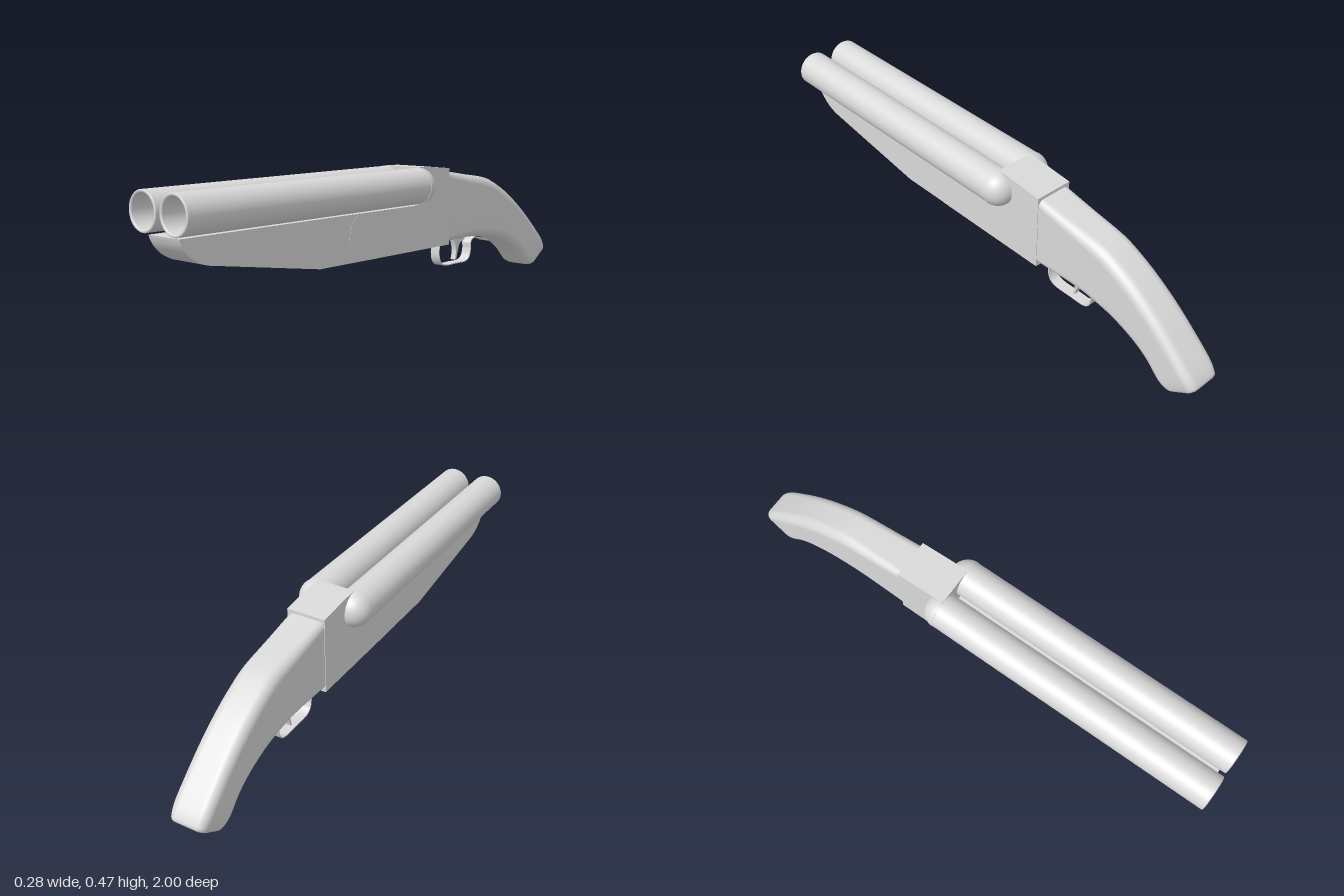
import * as THREE from 'three';
import { toCreasedNormals } from 'three/addons/utils/BufferGeometryUtils.js';

const V2 = (a, b) => new THREE.Vector2(a, b);

// Extrudes a side profile drawn in (z, y) to a width centred on x = 0
function sideExtrude(shape, width) {
  const g = new THREE.ExtrudeGeometry(shape, { depth: width, bevelEnabled: false, curveSegments: 20 });
  g.translate(0, 0, -width / 2);
  g.rotateY(-Math.PI / 2);
  return toCreasedNormals(g, 0.5);
}

// Thin strip following a (z, y) path
function bandShape(points, thickness) {
  const curve = new THREE.SplineCurve(points);
  const a = [], b = [], n = 60;
  for (let i = 0; i <= n; i++) {
    const p = curve.getPoint(i / n), t = curve.getTangent(i / n);
    const off = V2(-t.y, t.x).multiplyScalar(thickness / 2);
    a.push(p.clone().add(off));
    b.unshift(p.clone().sub(off));
  }
  return new THREE.Shape([...a, ...b]);
}

// Hollow barrel along z: domed breech, outer tube, muzzle lip and closed bore
function makeBarrel(material) {
  const r = 0.066, domeR = 0.0675, boreR = 0.056, seam = -0.105;
  const quarter = f => Array.from({ length: 13 }, (_, i) => f(i / 12 * Math.PI / 2));
  const profiles = {
    breechDome: quarter(a => V2(domeR * Math.sin(a), seam - domeR * Math.cos(a))),
    breechStep: [V2(domeR, seam), V2(r, seam)],
    tube: [V2(r, seam), V2(r, 0.997)],
    muzzleLip: [V2(r, 0.997), V2(0.064, 1), V2(0.059, 1), V2(boreR, 0.996)],
    bore: [V2(boreR, 0.996), V2(boreR, -0.04)],
    boreEnd: quarter(a => V2(boreR * Math.cos(a), -0.04 - boreR * Math.sin(a))),
  };
  const barrel = new THREE.Group();
  for (const [name, points] of Object.entries(profiles)) {
    const mesh = new THREE.Mesh(new THREE.LatheGeometry(points, 64).rotateX(Math.PI / 2), material);
    mesh.name = name;
    barrel.add(mesh);
  }
  return barrel;
}

// Lofts rounded rectangles, each spanning a top and a bottom point
function stockGeometry() {
  // top z, top y, bottom z, bottom y, half width, corner radius
  const keys = [
    [-0.30, 0.443, -0.30, 0.170, 0.072, 0.025],
    [-0.44, 0.420, -0.42, 0.171, 0.072, 0.032],
    [-0.57, 0.399, -0.50, 0.168, 0.072, 0.038],
    [-0.65, 0.366, -0.57, 0.160, 0.072, 0.038],
    [-0.73, 0.321, -0.65, 0.143, 0.072, 0.038],
    [-0.81, 0.263, -0.74, 0.108, 0.072, 0.036],
    [-0.885, 0.199, -0.80, 0.070, 0.072, 0.034],
    [-0.963, 0.125, -0.85, 0.022, 0.072, 0.032],
    [-0.993, 0.088, -0.882, 0.004, 0.068, 0.030],
    [-0.998, 0.068, -0.900, 0.002, 0.061, 0.024],
    [-0.975, 0.044, -0.920, 0.007, 0.048, 0.016],
  ];
  const at = (k, t) => { // Catmull-Rom through the key sections
    const i = Math.min(Math.floor(t), keys.length - 2), f = t - i;
    const [p0, p1, p2, p3] = [i - 1, i, i + 1, i + 2]
      .map(j => keys[Math.max(0, Math.min(keys.length - 1, j))][k]);
    return 0.5 * (2 * p1 + (p2 - p0) * f + (2 * p0 - 5 * p1 + 4 * p2 - p3) * f * f
      + (3 * p1 - p0 - 3 * p2 + p3) * f * f * f);
  };
  const pos = [], idx = [], corner = 7, ring = corner * 4, rows = (keys.length - 1) * 3;
  for (let i = 0; i <= rows; i++) {
    const [tz, ty, bz, by, w, r] = [0, 1, 2, 3, 4, 5].map(k => at(k, i / 3));
    const h = Math.hypot(tz - bz, ty - by) / 2;
    for (let q = 0; q < 4; q++) for (let c = 0; c < corner; c++) {
      const a = (q + c / (corner - 1)) * Math.PI / 2;
      const sx = q === 0 || q === 3 ? 1 : -1, sv = q < 2 ? 1 : -1;
      const x = sx * (w - r) + r * Math.cos(a);
      const v = (sv * (h - r) + r * Math.sin(a)) / h / 2;
      pos.push(x, (ty + by) / 2 + v * (ty - by), (tz + bz) / 2 + v * (tz - bz));
    }
  }
  for (let i = 0; i < rows; i++) for (let j = 0; j < ring; j++) {
    const a = i * ring + j, b = i * ring + (j + 1) % ring;
    idx.push(a, a + ring, b, b, a + ring, b + ring);
  }
  // Butt cap
  const last = keys[keys.length - 1], centre = pos.length / 3;
  pos.push(0, (last[1] + last[3]) / 2 - 0.004, (last[0] + last[2]) / 2 - 0.003);
  for (let j = 0; j < ring; j++) idx.push(centre, rows * ring + (j + 1) % ring, rows * ring + j);
  const g = new THREE.BufferGeometry();
  g.setAttribute('position', new THREE.Float32BufferAttribute(pos, 3));
  g.setIndex(idx);
  g.computeVertexNormals();
  return g;
}

export function createModel() {
  const model = new THREE.Group();
  const grey = new THREE.MeshStandardMaterial({ color: 0xd9d9d9 });
  grey.name = 'plain grey';
  const add = (name, geometry) => {
    const m = new THREE.Mesh(geometry, grey);
    m.name = name;
    model.add(m);
  };

  // Twin barrels
  for (const [name, side] of [['leftBarrel', 1], ['rightBarrel', -1]]) {
    const barrel = makeBarrel(grey);
    barrel.name = name;
    barrel.position.set(side * 0.0745, 0.402, 0);
    model.add(barrel);
  }

  // Receiver, with a rounded hinge at its front
  const receiver = new THREE.Shape();
  receiver.moveTo(-0.30, 0.162);
  receiver.lineTo(0.19, 0.162);
  receiver.absellipse(0.19, 0.246, 0.066, 0.084, -Math.PI / 2, Math.PI / 2, false);
  receiver.lineTo(-0.105, 0.33);
  receiver.lineTo(-0.105, 0.47);
  receiver.lineTo(-0.17, 0.468);
  receiver.lineTo(-0.30, 0.455);
  receiver.closePath();
  add('receiver', sideExtrude(receiver, 0.148));

  // Fore-end, hollowed to meet the hinge
  const foreEnd = new THREE.Shape();
  foreEnd.moveTo(0.19, 0.162);
  foreEnd.lineTo(0.40, 0.162);
  foreEnd.lineTo(0.87, 0.238);
  foreEnd.bezierCurveTo(0.93, 0.25, 0.97, 0.29, 0.98, 0.33);
  foreEnd.lineTo(0.19, 0.33);
  foreEnd.absellipse(0.19, 0.246, 0.066, 0.084, Math.PI / 2, -Math.PI / 2, true);
  add('foreEnd', sideExtrude(foreEnd, 0.146));

  // Grip stock
  add('stock', stockGeometry());

  // Trigger guard with its tail under the stock
  const guard = [
    [-0.325, 0.17], [-0.311, 0.145], [-0.311, 0.105], [-0.325, 0.078], [-0.355, 0.068],
    [-0.42, 0.068], [-0.475, 0.068], [-0.503, 0.082], [-0.514, 0.115], [-0.514, 0.14],
    [-0.535, 0.157], [-0.58, 0.151], [-0.635, 0.134],
  ].map(p => V2(...p));
  add('triggerGuard', sideExtrude(bandShape(guard, 0.004), 0.041));

  // Trigger
  const trigger = new THREE.Shape();
  trigger.moveTo(-0.41, 0.175);
  trigger.bezierCurveTo(-0.425, 0.14, -0.435, 0.12, -0.422, 0.08);
  trigger.lineTo(-0.430, 0.08);
  trigger.bezierCurveTo(-0.445, 0.12, -0.44, 0.15, -0.485, 0.155);
  trigger.lineTo(-0.485, 0.175);
  trigger.closePath();
  add('trigger', sideExtrude(trigger, 0.022));

  return model;
}
